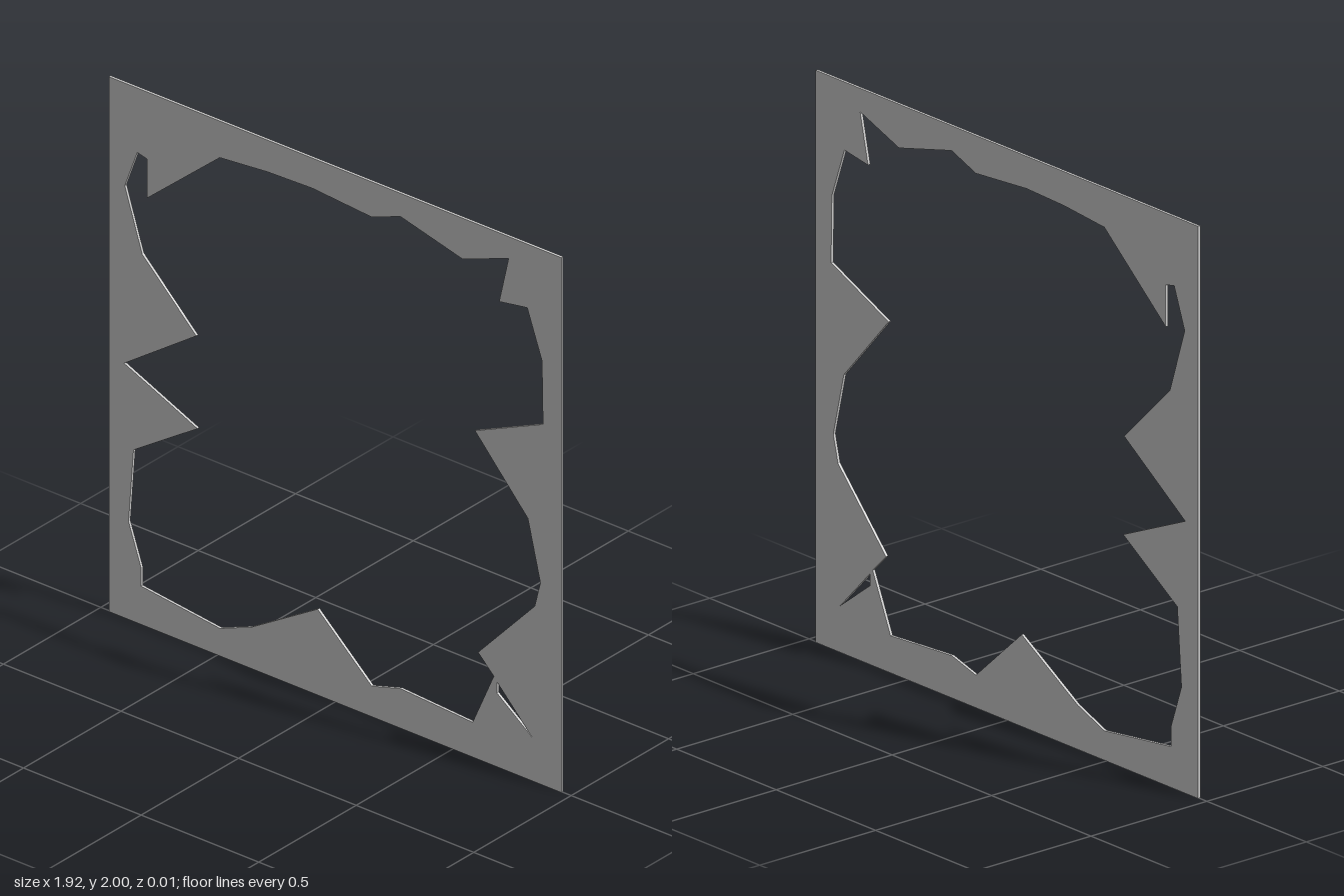
import * as THREE from 'three';

const WIDTH = 1.924, HEIGHT = 2, THICKNESS = 0.01;

// Jagged main opening, clockwise from the upper left
const opening = [
  [-0.49, 1.863], [-0.288, 1.881], [-0.098, 1.887], [0.156, 1.868], [0.278, 1.913],
  [0.542, 1.847], [0.738, 1.918], [0.698, 1.743], [0.817, 1.762], [0.88, 1.585],
  [0.884, 1.349], [0.595, 1.224], [0.82, 0.975], [0.873, 0.753], [0.849, 0.657],
  [0.608, 0.4], [0.675, 0.334], [0.585, 0.13], [0.278, 0.148], [0.156, 0.114],
  [-0.074, 0.321], [-0.357, 0.154], [-0.49, 0.103], [-0.825, 0.143], [-0.825, 0.212],
  [-0.878, 0.366], [-0.857, 0.641], [-0.585, 0.816], [-0.897, 0.951], [-0.59, 1.161],
  [-0.82, 1.386], [-0.894, 1.616], [-0.841, 1.759], [-0.799, 1.749], [-0.799, 1.603],
];

// Small separate crack near the lower right corner
const crack = [[0.839, 0.162], [0.688, 0.276], [0.688, 0.318]];

const toPoints = (list) => list.map(([x, y]) => new THREE.Vector2(x, y));

export function createModel() {
  const group = new THREE.Group();
  group.name = 'brokenPane';

  // Rectangular sheet with the broken-out openings
  const w = WIDTH / 2;
  const sheet = new THREE.Shape(toPoints([[-w, 0], [w, 0], [w, HEIGHT], [-w, HEIGHT]]));
  for (const outline of [opening, crack]) sheet.holes.push(new THREE.Path(toPoints(outline)));

  const geometry = new THREE.ExtrudeGeometry(sheet, { depth: THICKNESS, bevelEnabled: false });
  geometry.translate(0, 0, -THICKNESS / 2);

  const pane = new THREE.Mesh(
    geometry,
    new THREE.MeshStandardMaterial({ color: 0xcccccc, flatShading: true }),
  );
  pane.name = 'jaggedPane';
  group.add(pane);
  return group;
}
